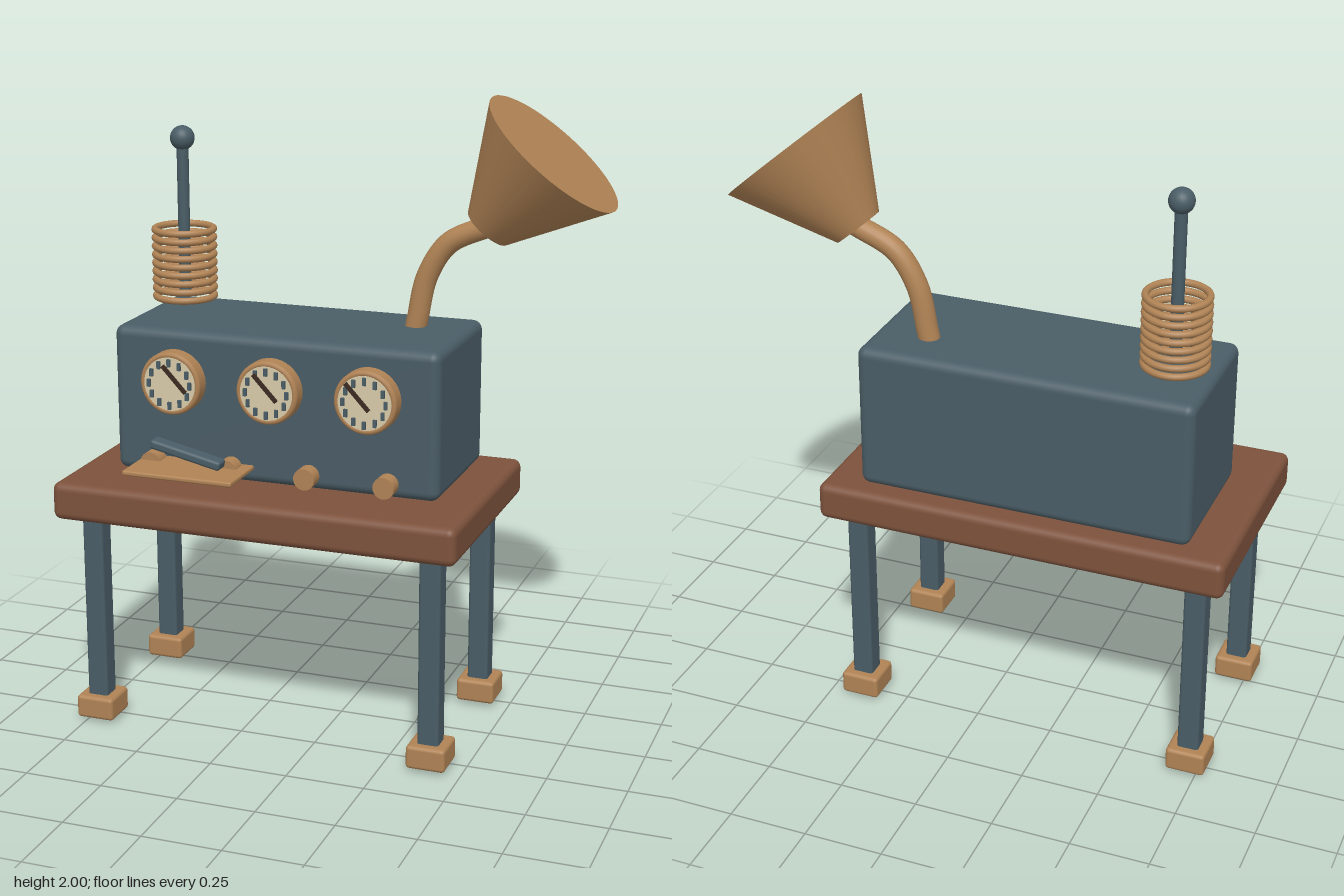
import * as THREE from 'three';
import { RoundedBoxGeometry } from 'three/addons/geometries/RoundedBoxGeometry.js';

export function createModel() {
  const root = new THREE.Group();
  root.name = 'gaugeMachineOnTable';

  const material = (name, color) => {
    const m = new THREE.MeshStandardMaterial({ color });
    m.name = name;
    return m;
  };
  const slate = material('slateMetal', 0x4a5d66);
  const wood = material('brownWood', 0x7d523c);
  const bronze = material('bronze', 0xb08355);
  const cream = material('creamDial', 0xd8cba8);
  const dark = material('darkNeedle', 0x3b2a22);

  const add = (name, geometry, mat, x, y, z, parent = root) => {
    const mesh = new THREE.Mesh(geometry, mat);
    mesh.name = name;
    mesh.position.set(x, y, z);
    parent.add(mesh);
    return mesh;
  };
  const box = (w, h, d, r) => new RoundedBoxGeometry(w, h, d, 3, r);
  // Cylinder lying along z
  const disc = (r, depth, sides = 40) =>
    new THREE.CylinderGeometry(r, r, depth, sides).rotateX(Math.PI / 2);

  // Table and machine body
  add('tableTop', box(1.31, 0.12, 0.75, 0.025), wood, -0.165, 0.75, 0.015);
  add('machineBody', box(1.065, 0.467, 0.475, 0.03), slate, -0.162, 1.042, -0.063);

  // Legs with bronze feet
  for (const x of [-0.717, 0.393]) {
    for (const z of [0.288, -0.252]) {
      add('leg', box(0.068, 0.68, 0.068, 0.01), slate, x, 0.34, z);
      add('foot', box(0.125, 0.075, 0.125, 0.012), bronze, x, 0.048, z);
    }
  }

  // Gauges
  [-0.483, -0.163, 0.153].forEach((x, i) => {
    const gauge = new THREE.Group();
    gauge.name = 'gauge';
    gauge.position.set(x, 1.117, 0.17);
    root.add(gauge);
    add('casing', disc(0.1, 0.045), bronze, 0, 0, 0.0225, gauge);
    add('rim', new THREE.TorusGeometry(0.09, 0.01, 10, 40), bronze, 0, 0, 0.045, gauge);
    add('dial', disc(0.085, 0.03), cream, 0, 0, 0.04, gauge);
    for (let k = 0; k < 12; k++) {
      const a = (k * Math.PI) / 6;
      add('tick', new THREE.BoxGeometry(0.011, 0.024, 0.008), slate,
        0.068 * Math.cos(a), 0.068 * Math.sin(a), 0.059, gauge);
    }
    const needle = add('needle', new THREE.BoxGeometry(0.012, 0.11, 0.008), dark,
      0.02 - 0.02 * i, 0.02, 0.067, gauge);
    needle.rotation.z = 0.75;
  });

  // Knobs
  for (let i = 0; i < 4; i++) {
    add('knob', disc(0.034, 0.048, 24), bronze, -0.545 + 0.255 * i, 0.863, 0.221);
  }

  // Key plate and tilted lever
  add('keyPlate', box(0.362, 0.016, 0.192, 0.006), bronze, -0.403, 0.863, 0.276);
  add('lever', box(0.238, 0.03, 0.052, 0.01), slate, -0.403, 0.918, 0.28).rotation.z = -0.22;

  // Aerial with coil
  const ax = -0.577, az = -0.12;
  for (let i = 0; i < 9; i++) {
    const ring = add('coilRing', new THREE.TorusGeometry(0.094, 0.011, 10, 40), bronze,
      ax, 1.318 + 0.027 * i, az);
    ring.rotation.x = Math.PI / 2;
  }
  add('aerialRod', new THREE.CylinderGeometry(0.019, 0.019, 0.49, 20), slate, ax, 1.575, az);
  add('aerialBall', new THREE.SphereGeometry(0.039, 24, 16), slate, ax, 1.825, az);

  // Horn: bent pipe and closed flaring cone
  const hz = -0.144;
  const path = new THREE.CatmullRomCurve3([
    [0.192, 1.26], [0.2, 1.3], [0.23, 1.437], [0.298, 1.543], [0.414, 1.6], [0.45, 1.615],
  ].map(([x, y]) => new THREE.Vector3(x, y, hz)));
  add('hornPipe', new THREE.TubeGeometry(path, 40, 0.034, 20), bronze, 0, 0, 0);
  add('hornBell', new THREE.CylinderGeometry(0.25, 0.078, 0.31, 48), bronze,
    0.52, 1.718, hz).rotation.z = -0.702;

  return root;
}
